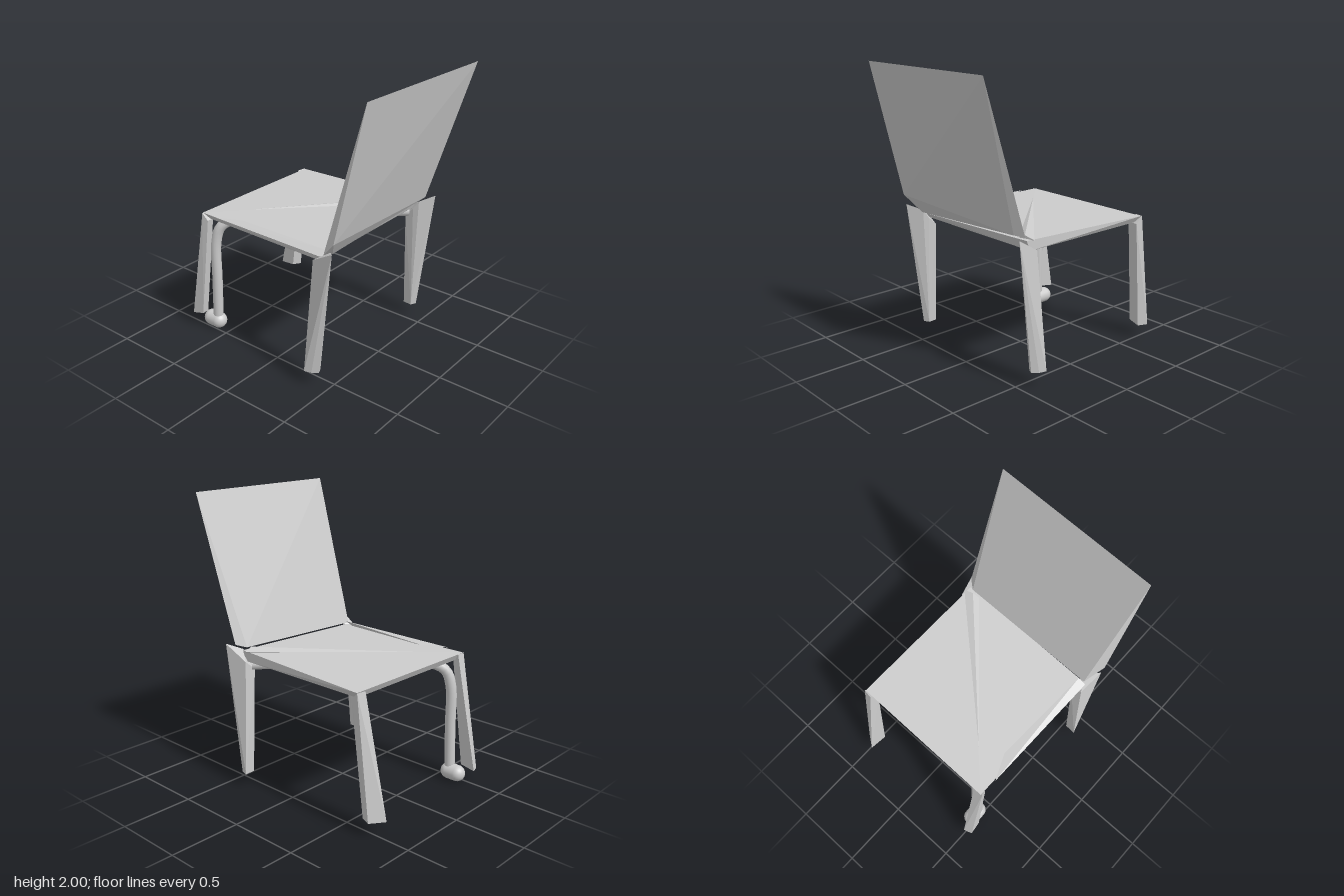
import * as THREE from 'three';
import { ConvexGeometry } from 'three/addons/geometries/ConvexGeometry.js';

export function createModel() {
  const chair = new THREE.Group();
  chair.name = 'chair';
  const faceted = new THREE.MeshStandardMaterial({ color: 0xcccccc, flatShading: true });
  const smooth = new THREE.MeshStandardMaterial({ color: 0xcccccc });

  const add = (name, geometry, material) => {
    const mesh = new THREE.Mesh(geometry, material);
    mesh.name = name;
    chair.add(mesh);
    return mesh;
  };
  // Faceted solid spanned by its corners
  const solid = (name, corners) =>
    add(name, new ConvexGeometry(corners.map((c) => new THREE.Vector3(...c))), faceted);

  // Backrest: wedge that tapers to a thin edge at the top
  solid('backrest', [
    [-0.595, 2, 0.785], [0.575, 2, 0.8],
    [-0.59, 1.07, 0.555], [-0.49, 0.95, 0.475], [0.5, 1.01, 0.51],
    [-0.53, 0.94, 0.43], [0.5, 0.98, 0.42], [0.56, 1.0, 0.47],
  ]);

  // Seat: thin slab, raised a little towards the backrest
  solid('seat', [
    [-0.53, 0.93, -0.635], [0.55, 0.93, -0.625], [0.53, 0.965, 0.43], [-0.54, 0.93, 0.43],
    [-0.5, 0.885, -0.61], [0.52, 0.885, -0.6], [0.53, 0.895, 0.4], [-0.53, 0.895, 0.4],
  ]);

  // Creases on the seat surface
  solid('seatFold', [
    [0.39, 0.94, 0.42], [0.48, 0.985, 0.4], [0.55, 0.965, 0.385], [-0.3, 0.938, -0.4], [0.2, 0.92, 0.1],
  ]);
  solid('seatRim', [
    [-0.55, 0.935, 0.42], [-0.49, 0.96, 0.42], [-0.46, 0.935, -0.32], [-0.54, 0.935, -0.5], [-0.51, 0.9, 0.3],
  ]);

  // Legs below the backrest, wide at the top
  for (const s of [-1, 1]) {
    solid(s < 0 ? 'backrestLegRight' : 'backrestLegLeft', [
      [s * 0.62, 0.1, 0.34], [s * 0.605, 0.1, 0.39], [s * 0.575, 0.1, 0.43],
      [s * 0.535, 0.1, 0.41], [s * 0.54, 0.1, 0.345],
      [s * 0.585, 1.0, 0.54], [s * 0.5, 0.96, 0.46],
      [s * 0.56, 0.9, 0.37], [s * 0.49, 0.84, 0.36], [s * 0.49, 0.9, 0.42],
    ]);
  }

  // Splayed legs at the open end of the seat
  solid('seatLegLeft', [
    [0.445, 0.12, -0.67], [0.465, 0.1, -0.8], [0.56, 0.1, -0.73], [0.53, 0.1, -0.66],
    [0.47, 0.88, -0.59], [0.49, 0.93, -0.64], [0.555, 0.93, -0.63], [0.55, 0.88, -0.58],
  ]);
  solid('seatLegRight', [
    [-0.495, 0.1, -0.79], [-0.555, 0.1, -0.77], [-0.545, 0.12, -0.68], [-0.495, 0.12, -0.68],
    [-0.47, 0.93, -0.635], [-0.54, 0.93, -0.63], [-0.53, 0.88, -0.59], [-0.48, 0.88, -0.59],
  ]);

  // Rounded leg that bends into a diagonal brace under the seat
  const bracePath = new THREE.CatmullRomCurve3([
    [-0.465, 0.06, -0.605], [-0.46, 0.4, -0.6], [-0.455, 0.7, -0.595], [-0.43, 0.81, -0.565],
    [-0.36, 0.865, -0.49], [-0.22, 0.885, -0.36], [0.15, 0.88, 0.03], [0.5, 0.87, 0.375],
  ].map((p) => new THREE.Vector3(...p)));
  add('roundLegAndBrace', new THREE.TubeGeometry(bracePath, 60, 0.037, 14), smooth);

  // Rounded foot
  const foot = add('roundFoot', new THREE.CapsuleGeometry(0.058, 0.07, 10, 20), smooth);
  foot.rotation.x = Math.PI / 2;
  foot.position.set(-0.465, 0.058, -0.635);

  return chair;
}
